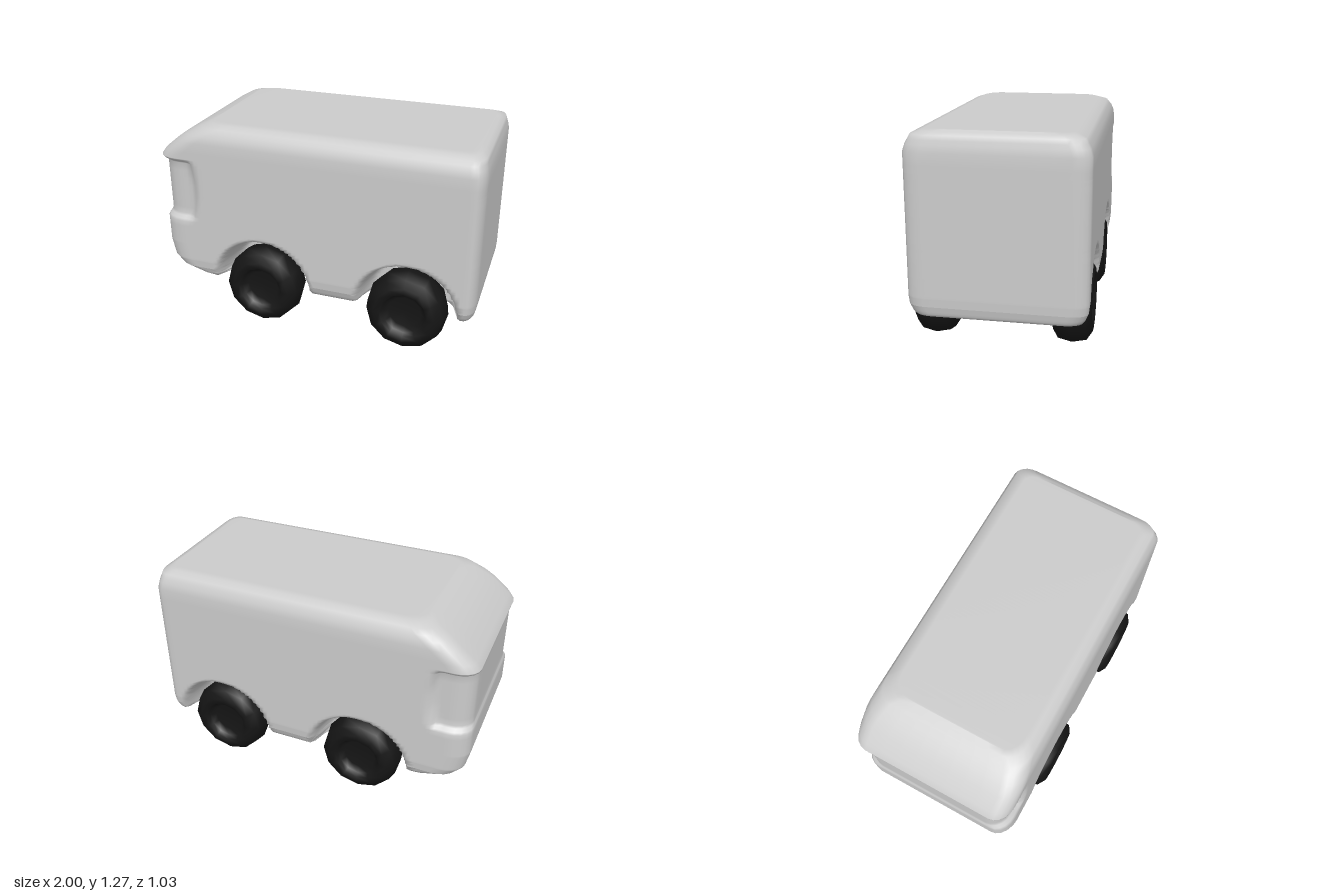
import * as THREE from 'three';

const WHEELS_X = [-0.33, 0.59];
const WHEEL_R = 0.25;
const BODY_Z = -0.0135;
const { smoothstep, lerp } = THREE.MathUtils;

// Body outline by height: y, nose x, tail x, half width
const OUTLINE = [
  [0.235, -0.66, 0.93, 0.39], [0.25, -0.75, 0.98, 0.463], [0.265, -0.82, 0.987, 0.475],
  [0.31, -0.93, 0.997, 0.493], [0.36, -0.975, 1, 0.4985], [0.47, -1, 1, 0.4985],
  [1.05, -1, 1, 0.4985], [1.09, -0.97, 1, 0.4985], [1.16, -0.885, 1, 0.4985],
  [1.2, -0.83, 0.992, 0.487], [1.25, -0.74, 0.98, 0.46], [1.275, -0.67, 0.93, 0.39],
];

function outlineAt(y) {
  let k = 0;
  while (k < OUTLINE.length - 2 && y > OUTLINE[k + 1][0]) k++;
  const a = OUTLINE[k], b = OUTLINE[k + 1];
  const t = (y - a[0]) / (b[0] - a[0]);
  return [1, 2, 3].map((j) => lerp(a[j], b[j], t));
}

// Half of a horizontal slice, from nose centre to tail centre
function halfSlice(y) {
  const [nose, tail, w] = outlineAt(y);
  const rz = 0.1, rf = 0.13, rb = 0.06, arc = 5, side = 70;
  const pts = [];
  for (let i = 0; i < 4; i++) pts.push([nose, (w - rz) * i / 4]);
  for (let i = 0; i < arc; i++) {
    const t = (i / arc) * Math.PI / 2;
    pts.push([nose + rf * (1 - Math.cos(t)), w - rz * (1 - Math.sin(t))]);
  }
  for (let i = 0; i < side; i++) pts.push([lerp(nose + rf, tail - rb, i / side), w]);
  for (let i = 0; i < arc; i++) {
    const t = (i / arc) * Math.PI / 2;
    pts.push([tail - rb * (1 - Math.sin(t)), w - rz * (1 - Math.cos(t))]);
  }
  for (let i = 0; i <= 4; i++) pts.push([tail, (w - rz) * (1 - i / 4)]);

  return pts.map(([x, z]) => {
    // Wheel arches: press the flanks in around each wheel
    for (const cx of WHEELS_X) {
      const s = 1 - smoothstep(Math.hypot(x - cx, y - WHEEL_R), 0.255, 0.32);
      z = lerp(z, Math.min(z, 0.2575), s);
    }
    // Window band wrapping the nose, with a rounded rear edge
    const edge = -0.73 - 0.35 * Math.max(0, Math.abs(y - 0.84) - 0.06) ** 1.2;
    const m = smoothstep(y, 0.63, 0.67) * (1 - smoothstep(y, 1.01, 1.045))
      * (1 - smoothstep(x, edge - 0.05, edge));
    const corner = smoothstep(z, 0.2, 0.4);
    return [x + 0.012 * m * (1 - smoothstep(x, -1, -0.87)), z - 0.04 * m * corner];
  });
}

function bodyGeometry() {
  const ys = OUTLINE.map((r) => r[0]);
  for (let y = 0.28; y < 0.6; y += 0.015) ys.push(y);
  ys.push(0.63, 0.643, 0.657, 0.67, 0.71, 0.76, 0.81, 0.86, 0.91, 0.96, 1.01, 1.022, 1.033, 1.045, 1.225, 1.265);
  ys.sort((a, b) => a - b);

  const pos = [], idx = [];
  let n = 0;
  for (const y of ys) {
    const half = halfSlice(y);
    const loop = [...half, ...half.slice(1, -1).reverse().map(([x, z]) => [x, -z])];
    n = loop.length;
    for (const [x, z] of loop) pos.push(x, y, z + BODY_Z);
  }
  // Walls
  for (let r = 0; r < ys.length - 1; r++) {
    for (let i = 0; i < n; i++) {
      const j = (i + 1) % n;
      const a = r * n + i, b = r * n + j, c = a + n, d = b + n;
      idx.push(a, b, d, a, d, c);
    }
  }
  // Floor and roof, strips joining mirrored points
  const top = (ys.length - 1) * n;
  for (let i = 0; i < n / 2; i++) {
    const a = i, b = i + 1, c = (n - i - 1) % n, d = (n - i) % n;
    idx.push(top + a, top + b, top + c, top + a, top + c, top + d);
    idx.push(a, c, b, a, d, c);
  }
  const geo = new THREE.BufferGeometry();
  geo.setAttribute('position', new THREE.Float32BufferAttribute(pos, 3));
  geo.setIndex(idx);
  geo.computeVertexNormals();
  return geo;
}

// Chunky twelve-sided tyre with a dished hub on both faces
function wheelGeometry() {
  const profile = [
    [0, -0.06], [0.1, -0.06], [0.13, -0.085], [0.145, -0.1125], [0.185, -0.1125], [0.232, -0.083], [0.25, 0],
    [0.232, 0.083], [0.185, 0.1125], [0.145, 0.1125], [0.13, 0.085], [0.1, 0.06], [0, 0.06],
  ].map(([r, h]) => new THREE.Vector2(r, h));
  return new THREE.LatheGeometry(profile, 12).rotateX(Math.PI / 2);
}

export function createModel() {
  const group = new THREE.Group();
  group.name = 'van';

  const body = new THREE.Mesh(bodyGeometry(), new THREE.MeshStandardMaterial({ color: 0xcccccc }));
  body.name = 'body';
  group.add(body);

  const rubber = new THREE.MeshStandardMaterial({ color: 0x151515 });
  const wheelGeo = wheelGeometry();
  WHEELS_X.forEach((x, i) => {
    for (const [side, z] of [['Left', 0.4025], ['Right', -0.3965]]) {
      const wheel = new THREE.Mesh(wheelGeo, rubber);
      wheel.name = (i ? 'rear' : 'front') + side + 'Wheel';
      wheel.position.set(x, WHEEL_R, z);
      group.add(wheel);
    }
  });
  return group;
}
